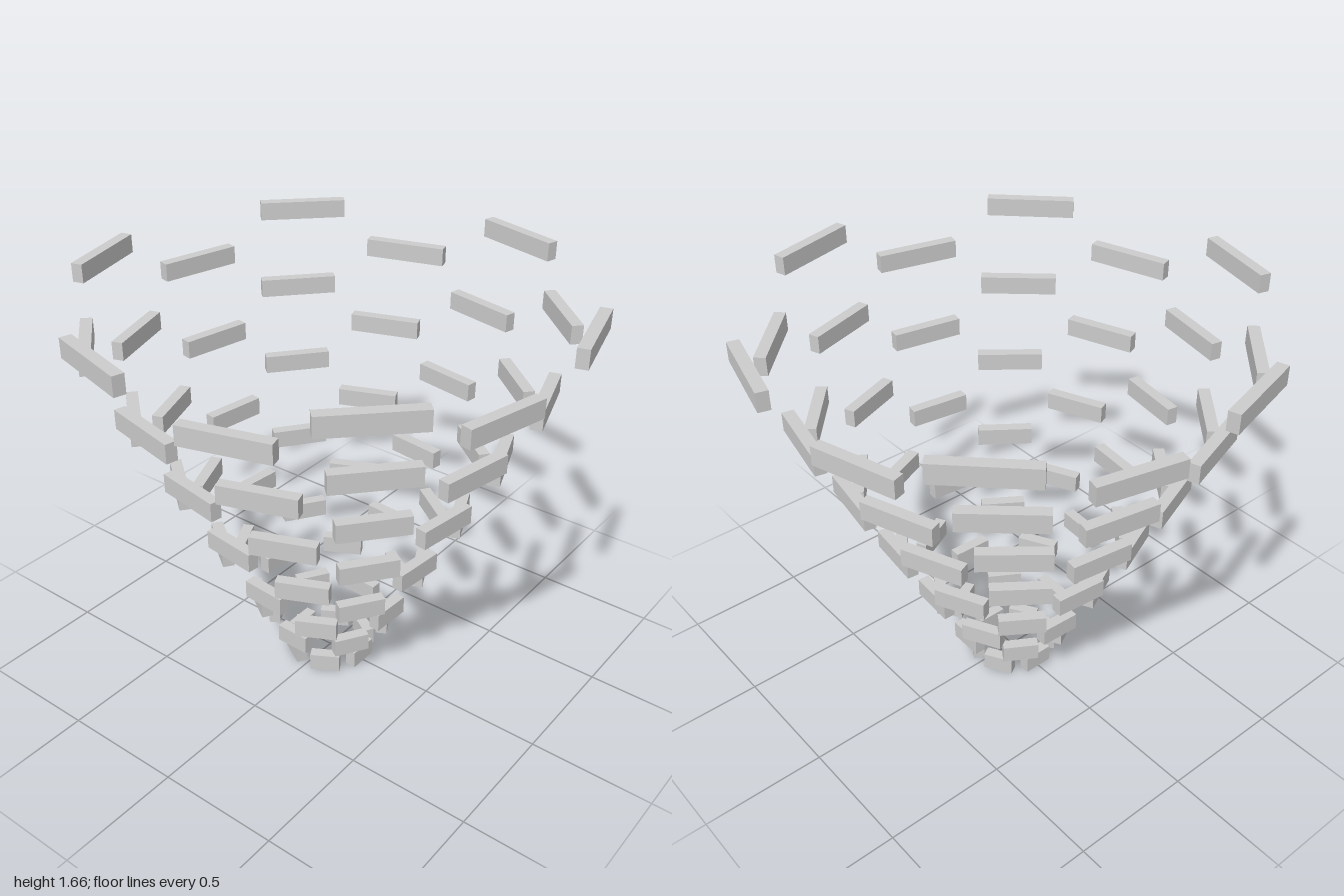
import * as THREE from 'three';

const LAYERS = 12;
const PER_RING = 6;
const BRICK_HEIGHT = 0.0745;
const BRICK_DEPTH = 0.046;
const LAYER_STEP = 0.1442;
const TWIST = -0.5; // radians added per layer

export function createModel() {
  const model = new THREE.Group();
  model.name = 'spiralBrickFunnel';

  const grey = new THREE.MeshStandardMaterial({ color: 0xcccccc });
  grey.name = 'light grey';

  for (let i = 0; i < LAYERS; i++) {
    // Each ring is wider than the one below, with longer bricks
    const radius = 0.154 + 0.0735 * i;
    const length = 0.123 + 0.0216 * i;
    const geometry = new THREE.BoxGeometry(BRICK_DEPTH, BRICK_HEIGHT, length);

    const ring = new THREE.Group();
    ring.name = `ring${i + 1}`;
    ring.position.y = BRICK_HEIGHT / 2 + LAYER_STEP * i;

    // Bricks lie along the tangent of the ring
    for (let j = 0; j < PER_RING; j++) {
      const angle = TWIST * i + (j * Math.PI * 2) / PER_RING;
      const brick = new THREE.Mesh(geometry, grey);
      brick.name = `brick${j + 1}`;
      brick.position.set(radius * Math.cos(angle), 0, radius * Math.sin(angle));
      brick.rotation.y = -angle;
      ring.add(brick);
    }
    model.add(ring);
  }
  return model;
}
